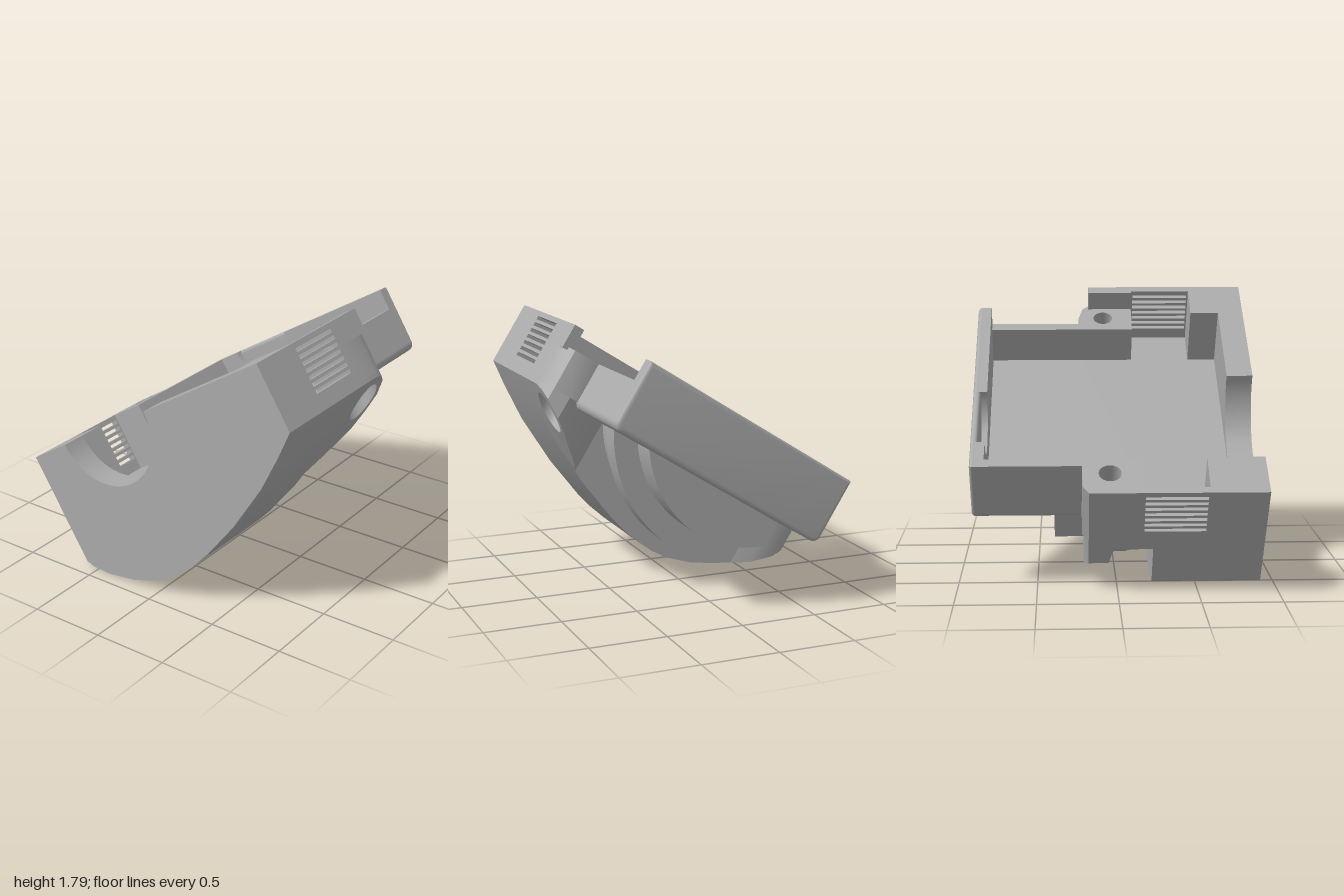
import * as THREE from 'three';
import { toCreasedNormals } from 'three/addons/utils/BufferGeometryUtils.js';

const plastic = new THREE.MeshStandardMaterial({ color: 0xaaaaaa });
plastic.name = 'grey plastic';

// Working frame: x along the split plane, y = 0 on the split plane (case hangs below), z forward.
const END = 1.04, IN = 0.735, FLOOR = -0.41, PORT = -0.335, HOLE = 0.865;

// Curved underside of the front body, left to right
const belly = [[-1.04, -0.77], [-1, -0.82], [-0.895, -0.896], [-0.7, -0.985], [-0.509, -1.033], [-0.39, -1.04],
  [-0.27, -1.03], [-0.13, -1.005], [0.006, -0.967], [0.313, -0.853], [0.653, -0.689], [0.888, -0.541], [1.04, -0.435]];

function bellyAt(x) {
  for (let i = 1; i < belly.length; i++) {
    const [x0, y0] = belly[i - 1], [x1, y1] = belly[i];
    if (x <= x1) return y0 + (y1 - y0) * (x - x0) / (x1 - x0);
  }
  return belly[belly.length - 1][1];
}

const poly = pts => new THREE.Shape(pts.map(p => new THREE.Vector2(p[0], p[1])));

function rect(x0, y0, x1, y1) {
  return poly([[x0, y0], [x1, y0], [x1, y1], [x0, y1]]);
}

function circleHole(x, y, r) {
  return new THREE.Path().absarc(x, y, r, 0, Math.PI * 2, true);
}

export function createModel() {
  const model = new THREE.Group();
  model.name = 'half case';
  const tilted = new THREE.Group();
  tilted.name = 'tilted case';
  tilted.rotation.z = 0.562;
  tilted.position.set(-0.12, 1.235, 0);
  model.add(tilted);

  const add = (name, geometry) => {
    const mesh = new THREE.Mesh(toCreasedNormals(geometry, 0.5), plastic);
    mesh.name = name;
    tilted.add(mesh);
  };
  // Cross-section in x/y, extruded from z0 to z1
  const slab = (name, shape, z0, z1) => {
    const g = new THREE.ExtrudeGeometry(shape, { depth: z1 - z0, bevelEnabled: false, curveSegments: 24 });
    add(name, g.translate(0, 0, z0));
  };
  // Plan in x/z, dropped from top to a bottom height given by a rule
  const drop = (name, plan, top, bottom) => {
    const g = new THREE.ExtrudeGeometry(plan, { depth: 1, bevelEnabled: false, curveSegments: 16 });
    g.rotateX(Math.PI / 2);
    const p = g.attributes.position;
    for (let i = 0; i < p.count; i++) {
      p.setY(i, p.getY(i) < -0.5 ? bottom(p.getX(i), p.getZ(i)) : top);
    }
    add(name, g);
  };
  const box = (name, x0, x1, y0, y1, z0, z1) => {
    const g = new THREE.BoxGeometry(x1 - x0, y1 - y0, z1 - z0);
    add(name, g.translate((x0 + x1) / 2, (y0 + y1) / 2, (z0 + z1) / 2));
  };

  // Front body below the cavity floor
  slab('front body', poly([...belly, [END, FLOOR], [-END, FLOOR]]), 0.22, 0.91);

  // Front wall with the half-round port
  const wall = new THREE.Shape();
  wall.moveTo(-END, FLOOR);
  wall.lineTo(END, FLOOR);
  wall.lineTo(END, 0);
  wall.lineTo(PORT + 0.39, 0);
  wall.absarc(PORT, 0, 0.39, 0, Math.PI, true);
  wall.lineTo(-END, 0);
  slab('front wall', wall, 0.74, 0.91);

  // Corner blocks and slotted end walls, mirrored
  for (const s of [-1, 1]) {
    const x0 = s < 0 ? -END : IN, x1 = s < 0 ? -IN : END;
    box('corner block', x0, x1, FLOOR, 0, 0.55, 0.74);
    const grille = rect(-0.55, FLOOR, -0.15, 0);
    for (let i = 0; i < 7; i++) {
      const y = -0.035 - i * 0.045;
      const slot = new THREE.Path();
      slot.moveTo(-0.54, y);
      slot.lineTo(-0.54, y - 0.024);
      slot.lineTo(-0.16, y - 0.024);
      slot.lineTo(-0.16, y);
      grille.holes.push(slot);
    }
    const g = new THREE.ExtrudeGeometry(grille, { depth: 0.05, bevelEnabled: false });
    g.rotateY(Math.PI / 2);
    add('vent grille', g.translate(s < 0 ? -END : END - 0.05, 0, 0));
  }

  // High-side screw boss: stepped top, counterbored underside swept into the front body
  const highTop = poly([[IN, 0.15], [IN, -0.21], [0.86, -0.22], [0.97, -0.19], [1.02, -0.13], [END, -0.06], [END, 0.15]]);
  highTop.holes.push(circleHole(HOLE, -0.05, 0.065));
  drop('high screw boss', highTop, -0.14, () => FLOOR);
  const highBase = poly([[0.4, 0.22], [0.48, 0.09], [0.55, 0], [0.65, -0.1], [0.76, -0.18], [0.86, -0.22], [0.97, -0.19],
    [1.02, -0.13], [END, -0.06], [END, 0.22], [0.888, 0.22], [0.653, 0.22]]);
  highBase.holes.push(circleHole(HOLE, -0.05, 0.12));
  drop('high boss base', highBase, FLOOR, x => bellyAt(x));
  box('high boss lip', 0.97, END, -0.16, 0, -0.15, 0.15);

  // Low-side screw boss, its underside following the drum and collar
  const lowTop = poly([[-END, 0.15], [-END, -0.18], [-0.98, -0.22], [-IN, -0.22], [-IN, 0.15]]);
  lowTop.holes.push(circleHole(-HOLE, -0.05, 0.07));
  drop('low screw boss', lowTop, 0, () => FLOOR);
  const lowBase = poly([[-END, 0.22], [-END, 0], [-END, -0.18], [-0.98, -0.21], [-0.85, -0.21], [-IN, -0.19], [-IN, 0], [-IN, 0.22]]);
  lowBase.holes.push(circleHole(-HOLE, -0.05, 0.12));
  drop('low boss base', lowBase, FLOOR, (x, z) => -Math.sqrt((z < -0.04 ? 0.93 : 0.855) ** 2 - (x - PORT) ** 2));

  // Stepped round underside, concentric with the port and cut off at the low side
  const sector = (r, xMin) => {
    const a0 = 2 * Math.PI - Math.acos((xMin - PORT) / r), a1 = 2 * Math.PI - Math.asin(0.415 / r);
    const pts = [[xMin, -0.415]];
    for (let i = 0; i <= 32; i++) {
      const a = a0 + (a1 - a0) * i / 32;
      pts.push([PORT + r * Math.cos(a), r * Math.sin(a)]);
    }
    return poly(pts);
  };
  slab('drum', sector(0.855, -IN), -0.06, 0.22);
  slab('collar', sector(0.93, -IN), -0.19, -0.05);
  slab('rear disk', sector(0.77, -0.79), -0.39, -0.19);

  // Rear tray: trough section with rounded lower edges, lower wall on the high side
  const W = 0.8, B = -0.45, R = 0.05;
  const roundedBottom = (topRight) => {
    const s = new THREE.Shape();
    s.moveTo(-W, 0);
    s.lineTo(-W, B + R);
    s.absarc(-W + R, B + R, R, Math.PI, 1.5 * Math.PI, false);
    s.absarc(W - R, B + R, R, 1.5 * Math.PI, 2 * Math.PI, false);
    s.lineTo(W, topRight);
    return s;
  };
  const trough = roundedBottom(-0.14);
  trough.lineTo(IN, -0.14);
  trough.lineTo(IN, FLOOR);
  trough.lineTo(-IN, FLOOR);
  trough.lineTo(-IN, 0);
  slab('rear tray', trough, -0.87, -0.2);
  box('cavity floor', -IN, IN, B, FLOOR, -0.2, 0.22);

  // Rear wall: inner layer with a half-round recess, outer layer with softened edges
  const inner = roundedBottom(0);
  inner.lineTo(PORT + 0.24, 0);
  inner.absarc(PORT, 0, 0.24, 0, Math.PI, true);
  slab('rear wall inner layer', inner, -0.88, -0.82);
  const outer = new THREE.ExtrudeGeometry(roundedBottom(0), {
    depth: 0.01, bevelThickness: 0.02, bevelSize: 0.03, bevelOffset: -0.03, bevelSegments: 4, curveSegments: 8
  });
  add('rear wall outer layer', outer.translate(0, 0, -0.89));

  return model;
}
